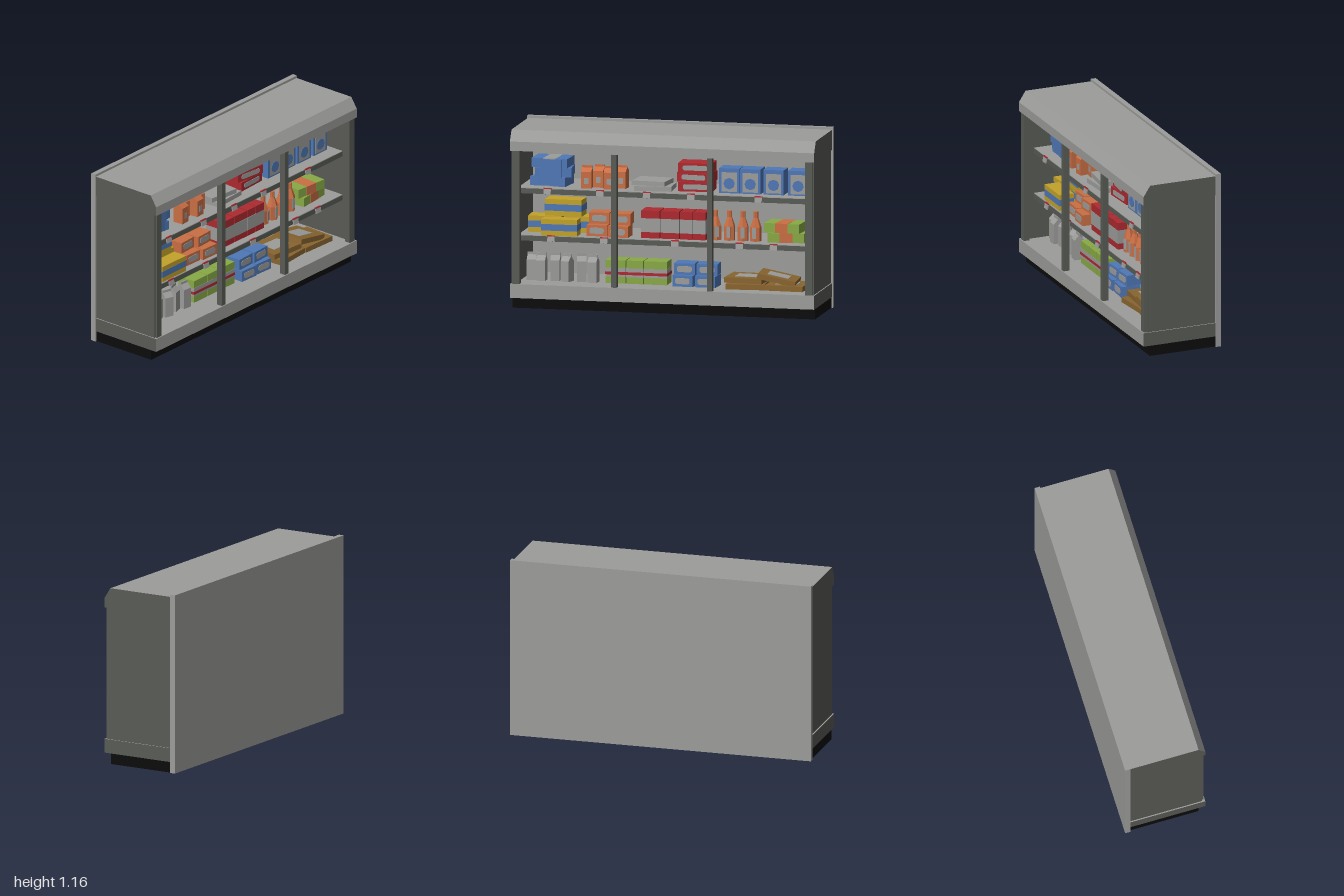
import * as THREE from 'three';

const mat = (name, color) => {
  const m = new THREE.MeshStandardMaterial({ color });
  m.name = name;
  return m;
};

export function createModel() {
  const light = mat('light grey', 0x9c9c9b), dark = mat('dark grey', 0x595b55), black = mat('black', 0x0c0c0c);
  const red = mat('red', 0xad2a30), blue = mat('blue', 0x4f78b6), orange = mat('orange', 0xca6e44);
  const yellow = mat('yellow', 0xc2a22a), green = mat('green', 0x88aa46), brown = mat('brown', 0x896530);
  const root = new THREE.Group();
  root.name = 'shopShelf';

  const add = (parent, name, geo, material, x = 0, y = 0, z = 0) => {
    const m = new THREE.Mesh(geo, material);
    m.name = name;
    m.position.set(x, y, z);
    parent.add(m);
    return m;
  };
  // Box given by its limits on each axis
  const span = (name, m, x0, x1, y0, y1, z0, z1, parent = root) =>
    add(parent, name, new THREE.BoxGeometry(x1 - x0, y1 - y0, z1 - z0), m, (x0 + x1) / 2, (y0 + y1) / 2, (z0 + z1) / 2);
  // Profile of [z, y] points swept along x, centred on x = 0
  const sweep = (pts, width) => {
    const g = new THREE.ExtrudeGeometry(new THREE.Shape(pts.map(p => new THREE.Vector2(...p))), { depth: width, bevelEnabled: false });
    return g.translate(0, 0, -width / 2).rotateY(-Math.PI / 2);
  };
  // Group standing on a shelf, turned about its own upright axis
  const place = (name, x, y, z, turn = 0) => {
    const g = new THREE.Group();
    g.name = name;
    g.position.set(x, y, z);
    g.rotation.y = turn;
    root.add(g);
    return g;
  };

  // Cabinet
  span('backPanel', light, -1, 1, 0, 1.165, -0.265, -0.23);
  span('plinth', black, -0.99, 0.99, 0, 0.07, -0.23, 0.225);
  add(root, 'base', sweep([[-0.23, 0.07], [0.27, 0.07], [0.27, 0.16], [-0.23, 0.16]], 1.99), [dark, light]);
  add(root, 'hood', sweep([[-0.23, 1.02], [0.27, 1.02], [0.27, 1.08], [0.225, 1.15], [-0.23, 1.15]], 1.99), [dark, light]);
  for (const s of [-1, 1]) {
    const wall = add(root, 'sideWall', new THREE.BoxGeometry(0.025, 0.86, 0.48), dark, s * 0.975, 0.59, 0.01);
    wall.name = s > 0 ? 'leftWall' : 'rightWall';
    add(root, 'endPost', new THREE.BoxGeometry(0.045, 0.86, 0.04), dark, s * 0.957, 0.59, 0.242);
  }
  for (const x of [-0.317, 0.308]) span('middlePost', dark, x - 0.017, x + 0.017, 0.16, 1.02, 0.222, 0.262);

  // Shelves with price tags
  const top = 0.77, mid = 0.465, low = 0.16;
  const tags = [[top, [-0.77, -0.425, -0.12, 0.17, 0.61]], [mid, [-0.745, -0.4, 0.065, 0.487, 0.71]]];
  for (const [y, xs] of tags) {
    span('shelf', dark, -0.963, 0.963, y - 0.037, y - 0.004, -0.23, 0.18);
    span('shelfTop', light, -0.963, 0.963, y - 0.004, y, -0.23, 0.179);
    for (const x of xs) {
      const tag = place('priceTag', x, y - 0.018, 0.188);
      tag.rotation.x = -0.2;
      add(tag, 'tagCard', new THREE.BoxGeometry(0.048, 0.036, 0.008), light);
      add(tag, 'tagCap', new THREE.BoxGeometry(0.05, 0.008, 0.01), red, 0, 0.019, 0);
    }
  }

  // Box with bands around it: [material, from, to] as shares of the height
  const bandedBox = (name, m, x, y, z, w, h, d, turn, bands = []) => {
    const g = place(name, x, y, z, turn);
    add(g, 'box', new THREE.BoxGeometry(w, h, d), m, 0, h / 2, 0);
    bands.forEach(([bm, a, b], i) => {
      const e = 0.003 * (i + 1);
      add(g, 'band', new THREE.BoxGeometry(w + e, h * (b - a), d + e), bm, 0, h * (a + b) / 2, 0);
    });
    return g;
  };
  // Box with a cut-corner label on front and back
  const labelBox = (name, m, x, y, z, w, h, d, turn) => {
    const g = bandedBox(name, m, x, y, z, w, h, d, turn);
    const a = w * 0.36, b = h * 0.27, c = b * 0.5;
    const s = new THREE.Shape([[-a + c, -b], [a - c, -b], [a, -b + c], [a, b - c], [a - c, b], [-a + c, b], [-a, b - c], [-a, -b + c]]
      .map(p => new THREE.Vector2(...p)));
    const plate = new THREE.ExtrudeGeometry(s, { depth: 0.004, bevelEnabled: false });
    add(g, 'frontLabel', plate, light, 0, h / 2, d / 2 - 0.001);
    add(g, 'backLabel', plate, light, 0, h / 2, -d / 2 - 0.003);
  };
  // Carton with a sloped roof and a crest
  const carton = (name, m, x, y, z, w, h, d, turn, label) => {
    const g = place(name, x, y, z, turn), k = h * 0.74, r = d / 2;
    add(g, 'carton', sweep([[-r, 0], [r, 0], [r, k], [0, h * 0.93], [-r, k]], w), m);
    add(g, 'crest', new THREE.BoxGeometry(w, h * 0.14, 0.008), m, 0, h * 0.93, 0);
    if (label) add(g, 'label', new THREE.BoxGeometry(w * 0.45, h * 0.26, 0.004), label, 0, h * 0.34, r);
  };
  // Stack of soft packs, each with a stripe across
  const packs = (name, m, stripe, x, y, z, w, h, d, turns) => turns.forEach((t, i) => {
    const g = place(name, x + t * 0.08, y + i * h, z, t);
    add(g, 'pack', new THREE.BoxGeometry(w, h * 0.98, d), m, 0, h / 2, 0);
    add(g, 'stripe', new THREE.BoxGeometry(w * 0.36, h, d + 0.004), stripe, 0, h / 2, 0);
  });

  // Top shelf
  packs('bluePack', blue, light, -0.77, top, 0.01, 0.235, 0.06, 0.17, [-0.12, 0.1, -0.05]);
  add(root, 'packSticker', new THREE.BoxGeometry(0.15, 0.17, 0.008), blue, -0.77, top + 0.09, 0.1);
  [-0.532, -0.46, -0.385, -0.312].forEach((x, i) =>
    carton('orangeCarton', orange, x, top, i % 2 ? 0.04 : 0.09, 0.066, 0.145, 0.07, i % 2 ? -0.1 : 0.08, light));
  bandedBox('greyTray', light, -0.1, top, 0.03, 0.24, 0.03, 0.2, 0.06);
  bandedBox('greyTray', light, -0.12, top + 0.03, 0.02, 0.22, 0.03, 0.18, -0.1);
  [0.05, -0.1, 0.03].forEach((t, i) => labelBox('redBox', red, 0.17, top + i * 0.061, 0.01, 0.22, 0.06, 0.15, t));
  [0.397, 0.535, 0.687, 0.848].forEach(x => {
    const g = bandedBox('blueBox', blue, x, top, 0.03, 0.133, 0.16, 0.12, 0);
    add(g, 'label', new THREE.BoxGeometry(0.1, 0.125, 0.004), light, 0, 0.072, 0.06);
    add(g, 'labelSpot', new THREE.CylinderGeometry(0.037, 0.037, 0.004, 8).rotateX(Math.PI / 2), blue, 0, 0.062, 0.063);
  });

  // Middle shelf
  const stripe = [[blue, 0.3, 0.7]];
  bandedBox('yellowBox', yellow, -0.82, mid, -0.01, 0.215, 0.105, 0.13, 0.04, stripe);
  bandedBox('yellowBox', yellow, -0.697, mid, 0.12, 0.235, 0.105, 0.1, 0, stripe);
  bandedBox('yellowBox', yellow, -0.6, mid, -0.04, 0.2, 0.105, 0.13, 0, stripe);
  bandedBox('yellowBox', yellow, -0.697, mid + 0.107, -0.02, 0.24, 0.107, 0.13, -0.03, stripe);
  for (const [x, z] of [[-0.458, 0.04], [-0.316, 0.06]])
    for (const i of [0, 1]) labelBox('orangeBox', orange, x, mid + i * 0.073, z + (i ? -0.02 : 0.03), 0.132, 0.072, 0.12, i ? 0.06 : -0.03);
  [[-0.11, 0.12], [0.017, 0.12], [0.125, 0.08], [0.21, 0.08]].forEach(([x, w]) =>
    bandedBox('redCarton', red, x, mid, 0.06, w, 0.178, 0.13, 0, [[light, 0.22, 0.72]]));
  const bottleProfile = [[0, 0], [0.037, 0], [0.037, 0.09], [0.016, 0.15], [0.016, 0.19], [0, 0.19]].map(p => new THREE.Vector2(...p));
  const bottleGeo = new THREE.LatheGeometry(bottleProfile, 6).toNonIndexed();
  bottleGeo.computeVertexNormals();
  [0.305, 0.395, 0.483, 0.567].forEach((x, i) => {
    const g = place('bottle', x, mid, 0.07, [0.4, 0, 0.1, -0.1][i]);
    add(g, 'bottleBody', bottleGeo, orange);
    add(g, 'bottleLabel', new THREE.BoxGeometry(0.026, 0.07, 0.004), light, 0, 0.055, 0.036);
  });
  packs('greenPack', green, orange, 0.755, mid, 0.02, 0.235, 0.062, 0.17, [0.1, -0.08]);

  // Bottom deck
  [-0.897, -0.832, -0.745, -0.665, -0.575, -0.493].forEach((x, i) =>
    carton('greyCarton', light, x, low, 0.06 + 0.02 * (i % 2), 0.06, 0.178, 0.065, [0, 0, 0.1, -0.3, 0.25, -0.1][i]));
  [[-0.345, 0.13], [-0.22, 0.11], [-0.085, 0.15]].forEach(([x, w]) =>
    bandedBox('greenBox', green, x, low, 0.03, w, 0.15, 0.13, 0, [[light, 0.28, 0.67], [red, 0.38, 0.5]]));
  for (const x of [0.103, 0.25])
    for (const i of [0, 1]) labelBox('smallBlueBox', blue, x, low + i * 0.073, 0.06 - i * 0.03, 0.135, 0.072, 0.13, i ? 0.05 : -0.05);
  const flatBox = (x, y, z, turn, tilt) => {
    const g = place('flatBrownBox', x, y, z, turn);
    g.rotation.z = tilt;
    add(g, 'box', new THREE.BoxGeometry(0.25, 0.034, 0.22), brown, 0, 0.017, 0);
    add(g, 'label', new THREE.BoxGeometry(0.14, 0.004, 0.11), light, 0, 0.034, 0);
  };
  flatBox(0.505, low, 0.04, 0.08, 0);
  flatBox(0.77, low, 0.04, -0.04, 0);
  flatBox(0.5, low + 0.036, 0.01, -0.06, 0);
  flatBox(0.705, low + 0.05, 0.03, 0.06, -0.2);

  return root;
}
